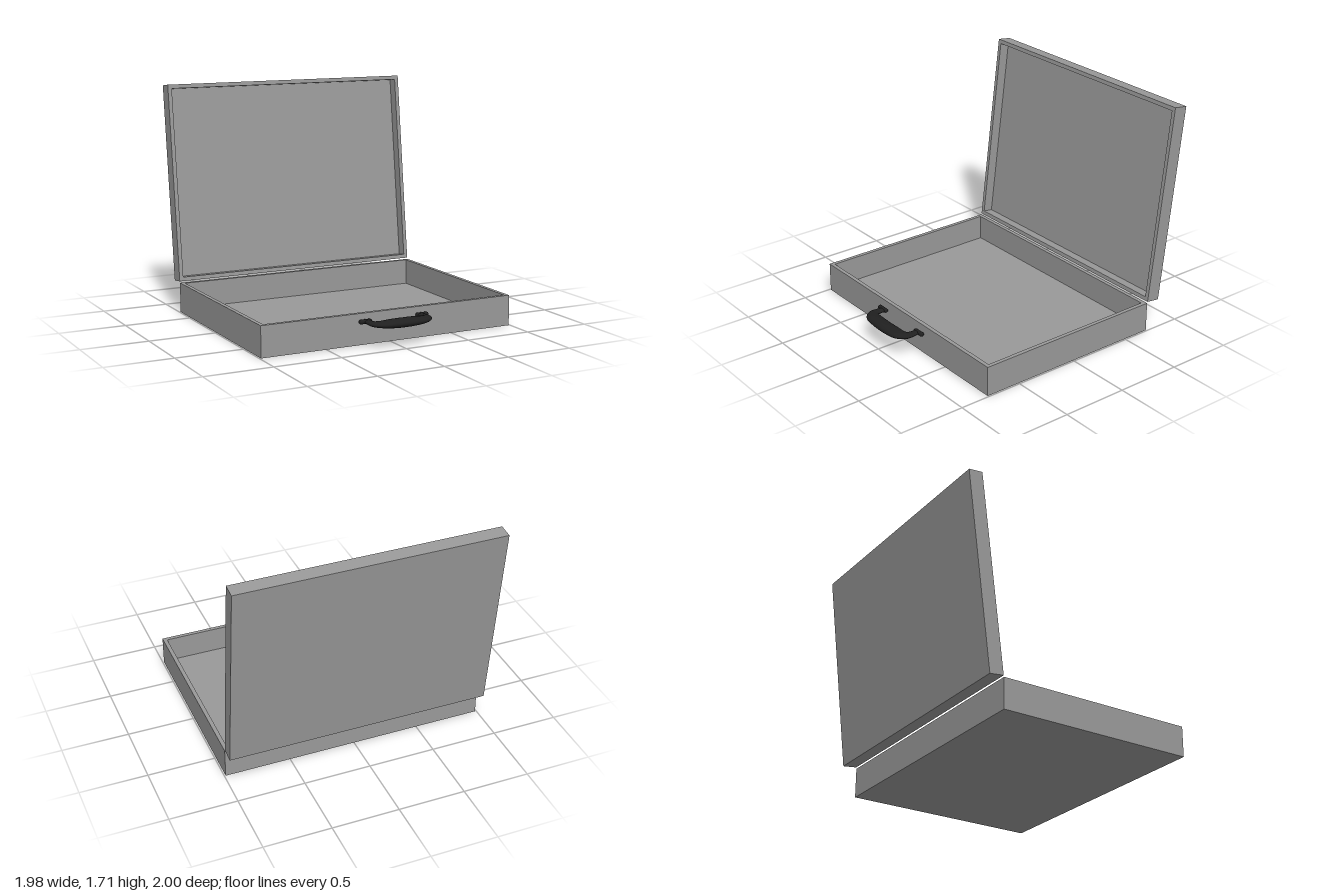
import * as THREE from 'three';
import { ParametricGeometry } from 'three/addons/geometries/ParametricGeometry.js';
import { RoundedBoxGeometry } from 'three/addons/geometries/RoundedBoxGeometry.js';

const WIDTH = 1.98, LENGTH = 1.485, WALL = 0.03;
const BASE_DEPTH = 0.225, LID_DEPTH = 0.107, LID_TILT = -0.12;

const shellMaterial = new THREE.MeshStandardMaterial({ color: 0x999999 });
const handleMaterial = new THREE.MeshStandardMaterial({ color: 0x202020 });

function rectangle(target, w, h) {
  target.moveTo(-w / 2, -h / 2);
  target.lineTo(w / 2, -h / 2);
  target.lineTo(w / 2, h / 2);
  target.lineTo(-w / 2, h / 2);
  target.closePath();
  return target;
}

// Shallow open tray: closed at z = 0, open at z = depth
function createTray(name, depth) {
  const tray = new THREE.Group();
  tray.name = name;
  const innerW = WIDTH - 2 * WALL, innerL = LENGTH - 2 * WALL;
  const frame = rectangle(new THREE.Shape(), WIDTH, LENGTH);
  frame.holes.push(rectangle(new THREE.Path(), innerW, innerL));
  const walls = new THREE.Mesh(
    new THREE.ExtrudeGeometry(frame, { depth, bevelEnabled: false }), shellMaterial);
  walls.name = name + 'Walls';
  const panel = new THREE.Mesh(new THREE.BoxGeometry(innerW, innerL, WALL), shellMaterial);
  panel.position.z = WALL / 2;
  panel.name = name + 'Panel';
  tray.add(walls, panel);
  return tray;
}

// Curved grip swept with an oval section that swells towards the middle
function createGripGeometry() {
  const half = [[0.208, 0.805], [0.214, 0.85], [0.205, 0.9], [0.16, 0.932], [0.08, 0.942]];
  const points = [
    ...half.map(([x, z]) => new THREE.Vector3(-x, 0, z)),
    new THREE.Vector3(0, 0, 0.945),
    ...half.slice().reverse().map(([x, z]) => new THREE.Vector3(x, 0, z)),
  ];
  const path = new THREE.CatmullRomCurve3(points, false, 'centripetal');
  const up = new THREE.Vector3(0, 1, 0);
  return new ParametricGeometry((u, v, target) => {
    const centre = path.getPointAt(u);
    const outward = path.getTangentAt(u).cross(up).normalize();
    const inward = 1 - Math.abs(2 * u - 1);
    const halfWidth = 0.028 + 0.027 * THREE.MathUtils.smoothstep(inward, 0.05, 0.6);
    const halfHeight = 0.013 + 0.02 * THREE.MathUtils.smoothstep(inward, 0, 0.9);
    const angle = v * Math.PI * 2;
    target.copy(centre)
      .addScaledVector(outward, Math.cos(angle) * halfWidth)
      .addScaledVector(up, Math.sin(angle) * halfHeight);
  }, 48, 20);
}

function createHandle() {
  const handle = new THREE.Group();
  handle.name = 'handle';
  const grip = new THREE.Mesh(createGripGeometry(), handleMaterial);
  grip.name = 'handleGrip';
  handle.add(grip);
  for (const side of [-1, 1]) {
    const foot = new THREE.Mesh(new RoundedBoxGeometry(0.1, 0.032, 0.034, 4, 0.015), handleMaterial);
    foot.position.set(side * 0.225, 0, 0.806);
    foot.name = side > 0 ? 'leftHandleFoot' : 'rightHandleFoot';
    handle.add(foot);
  }
  handle.position.set(0.01, 0.173, 0);
  return handle;
}

export function createModel() {
  const model = new THREE.Group();
  model.name = 'openBriefcase';

  // Base lies flat, opening upwards
  const base = createTray('base', BASE_DEPTH);
  base.rotation.x = -Math.PI / 2;
  base.position.z = 0.03;

  // Lid stands on the rear edge and leans back
  const lid = createTray('lid', LID_DEPTH);
  lid.position.set(0, LENGTH / 2, -LID_DEPTH);
  const hinge = new THREE.Group();
  hinge.name = 'lidHinge';
  hinge.position.set(0, 0.235, -0.716);
  hinge.rotation.x = LID_TILT;
  hinge.add(lid);

  model.add(base, hinge, createHandle());
  return model;
}
